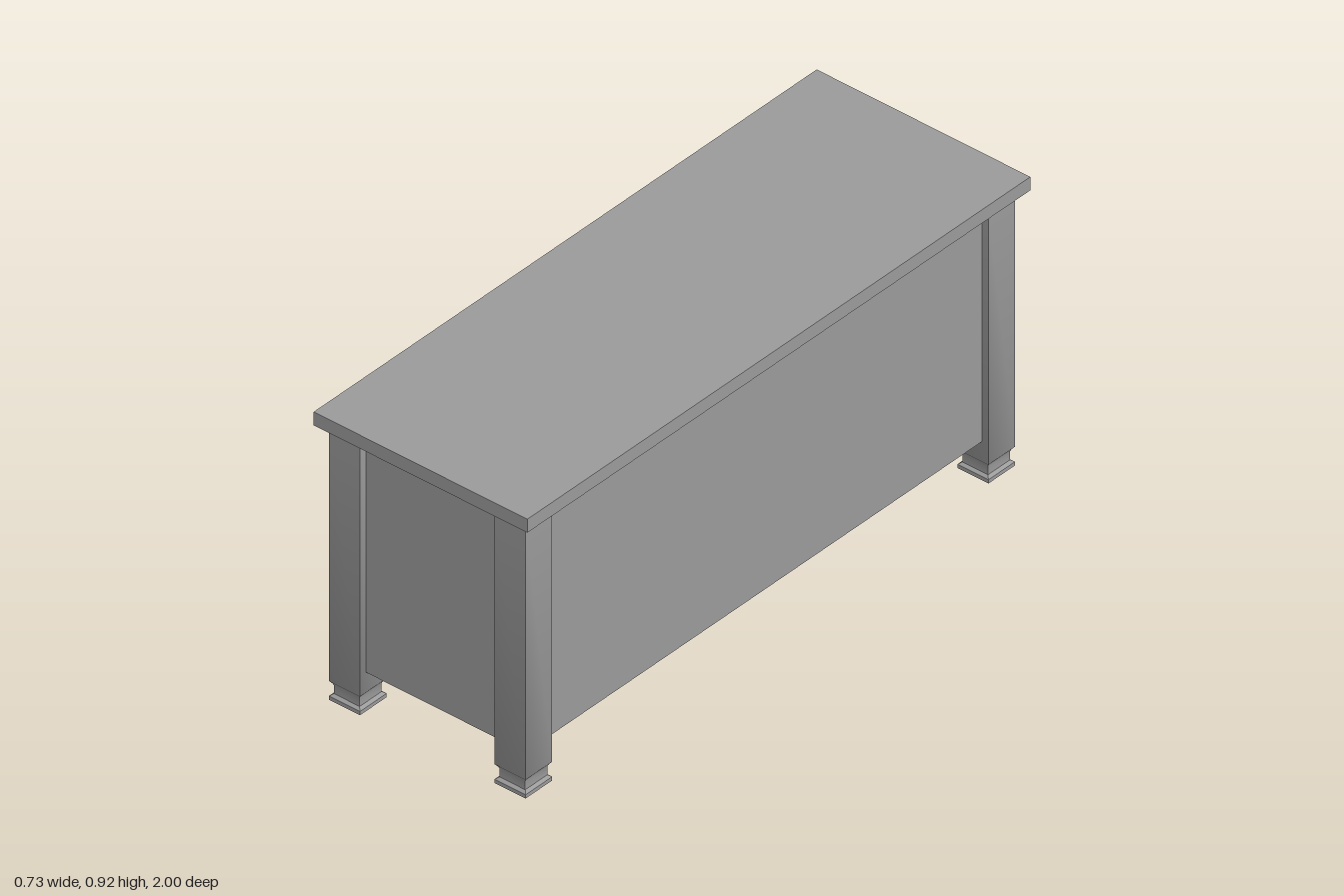
import * as THREE from 'three';
import { toCreasedNormals } from 'three/addons/utils/BufferGeometryUtils.js';

const material = new THREE.MeshStandardMaterial({ color: 0x9b9b9b });

function addMesh(parent, name, geometry, x = 0, y = 0, z = 0) {
  const mesh = new THREE.Mesh(geometry, material);
  mesh.name = name;
  mesh.position.set(x, y, z);
  parent.add(mesh);
  return mesh;
}

// Square post with a turned-in foot: four sides, soft along the profile, sharp at the corners
function legGeometry() {
  const profile = [
    [0, 0], [0.053, 0], [0.053, 0.012], [0.044, 0.019], [0.044, 0.046],
    [0.0465, 0.052], [0.053, 0.06], [0.053, 0.879], [0, 0.879],
  ].map(([half, y]) => new THREE.Vector2(half * Math.SQRT2, y));
  return toCreasedNormals(new THREE.LatheGeometry(profile, 4, Math.PI / 4), 0.85);
}

function rectangle(Type, u0, u1, y0, y1) {
  const path = new Type();
  path.moveTo(u0, y0);
  path.lineTo(u1, y0);
  path.lineTo(u1, y1);
  path.lineTo(u0, y1);
  path.closePath();
  return path;
}

// Flat frame with rectangular openings
function frameGeometry(openings, depth) {
  const shape = rectangle(THREE.Shape, -0.95, 0.95, 0.125, 0.879);
  for (const opening of openings) shape.holes.push(rectangle(THREE.Path, ...opening));
  return new THREE.ExtrudeGeometry(shape, { depth, bevelEnabled: false });
}

// Flat bow pull: end pads and a raised grip, lying along x, bulging to +z
function pullGeometry(length, width) {
  const h = length / 2;
  const shape = new THREE.Shape();
  shape.moveTo(-h, 0);
  shape.lineTo(-h * 0.66, 0);
  shape.lineTo(-h * 0.4, 0.011);
  shape.quadraticCurveTo(0, 0.014, h * 0.4, 0.011);
  shape.lineTo(h * 0.66, 0);
  shape.lineTo(h, 0);
  shape.lineTo(h, 0.008);
  shape.lineTo(h * 0.75, 0.009);
  shape.lineTo(h * 0.45, 0.021);
  shape.quadraticCurveTo(0, 0.025, -h * 0.45, 0.021);
  shape.lineTo(-h * 0.75, 0.009);
  shape.lineTo(-h, 0.008);
  shape.closePath();
  const geometry = new THREE.ExtrudeGeometry(shape, { depth: width, bevelEnabled: false, curveSegments: 6 });
  geometry.translate(0, 0, -width / 2);
  geometry.rotateX(Math.PI / 2);
  return toCreasedNormals(geometry, 0.5);
}

export function createModel() {
  const model = new THREE.Group();
  model.name = 'sideboard';

  // Worktop and cabinet body
  addMesh(model, 'worktop', new THREE.BoxGeometry(0.73, 0.043, 2), 0, 0.8995, 0);
  addMesh(model, 'cabinetBody', new THREE.BoxGeometry(0.605, 0.754, 1.9), 0.0125, 0.502, 0);

  // Corner legs, plus two more dividing the storage side
  const leg = legGeometry();
  for (const x of [-0.283, 0.283]) {
    for (const z of [-0.92, 0.92]) addMesh(model, 'cornerLeg', leg, x, 0, z);
  }
  for (const z of [-0.285, 0.292]) addMesh(model, 'middleLeg', leg, -0.283, 0, z);

  // Storage side, built facing +z and then turned to face -x
  const storage = new THREE.Group();
  storage.name = 'storageSide';
  storage.rotation.y = -Math.PI / 2;
  model.add(storage);

  const doors = [[-0.857, -0.355, 0.15, 0.855], [0.362, 0.857, 0.15, 0.855]];
  const drawers = [0.245, 0.495, 0.745].map((y) => [-0.2, 0.21, y - 0.108, y + 0.108]);
  addMesh(storage, 'faceFrame', frameGeometry([...doors, ...drawers], 0.022), 0, 0, 0.29);

  // Upright pulls on the doors, level pulls on the drawers
  const doorPull = pullGeometry(0.165, 0.02);
  for (const u of [-0.41, 0.43]) {
    addMesh(storage, 'doorHandle', doorPull, u, 0.495, 0.29).rotation.z = Math.PI / 2;
  }
  const drawerPull = pullGeometry(0.13, 0.02);
  for (const [, , y0, y1] of drawers) {
    addMesh(storage, 'drawerHandle', drawerPull, 0.01, (y0 + y1) / 2, 0.29);
  }
  return model;
}
